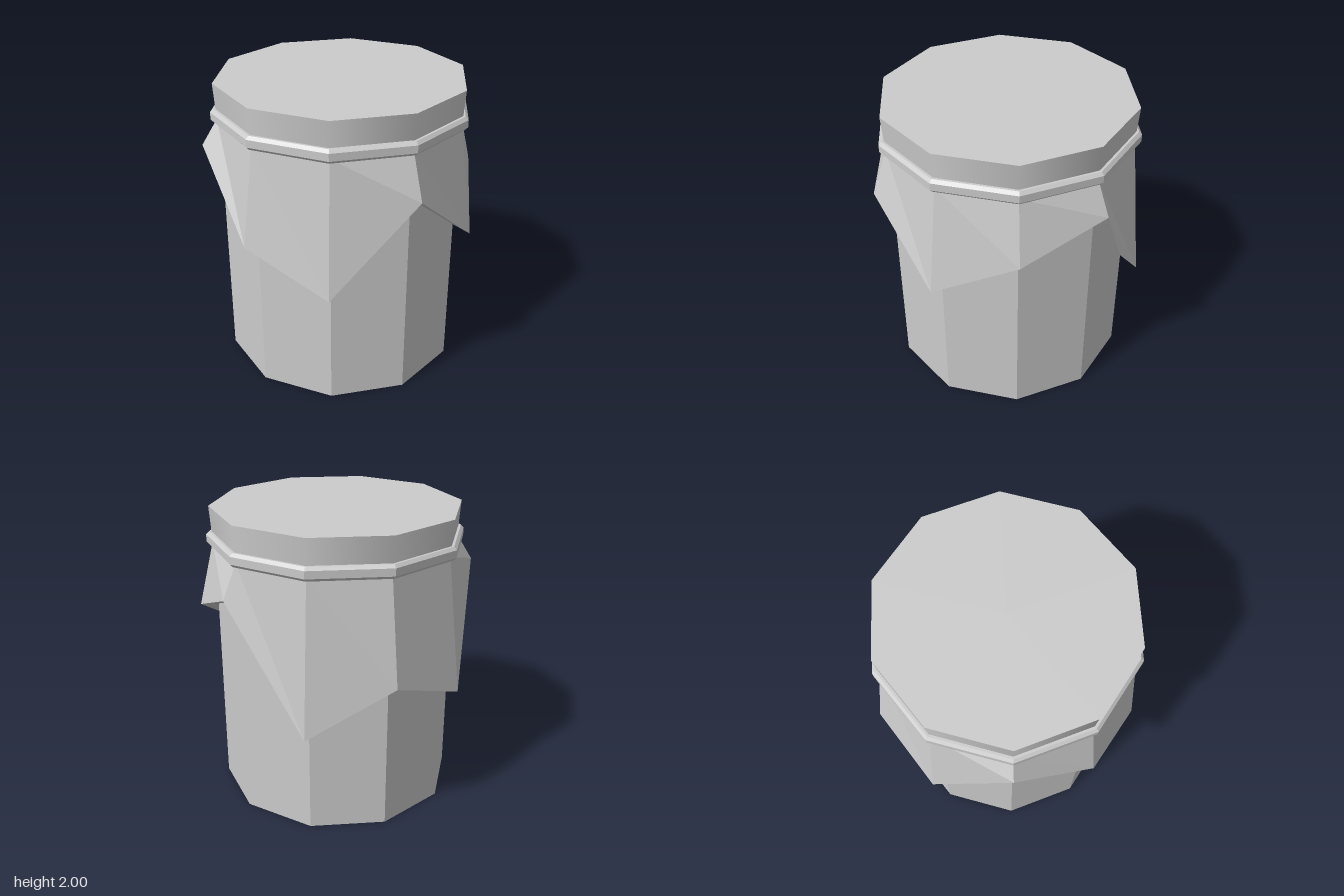
import * as THREE from 'three';

const SIDES = 10;
const flat = new THREE.MeshStandardMaterial({ color: 0xcccccc, flatShading: true });
const smooth = new THREE.MeshStandardMaterial({ color: 0xcccccc });
const cloth = new THREE.MeshStandardMaterial({ color: 0xcccccc, flatShading: true, side: THREE.DoubleSide });

// Ten-sided drum between two heights, with a corner on the +x axis
function drum(name, rTop, rBottom, y0, y1, material) {
  const geo = new THREE.CylinderGeometry(rTop, rBottom, y1 - y0, SIDES, 1, false, Math.PI / 2);
  geo.translate(0, (y0 + y1) / 2, 0);
  const mesh = new THREE.Mesh(geo, material);
  mesh.name = name;
  return mesh;
}

// Cloth skirt: flares from the neck to a ragged rim, then folds in to the jar wall
function clothSkirt() {
  const rim = [1.54, 1.32, 1.01, 1.46, 0.84, 1.1, 1.59, 0.845, 1.05, 0.72];
  const rings = [
    { r: 0.825, y: () => 1.76 },
    { r: 0.93, y: (h) => h },
    { r: 0.808, y: (h) => h + (1.32 - h) * 0.15 },
  ];
  const positions = [];
  const index = [];
  rings.forEach(({ r, y }, j) => {
    for (let k = 0; k < SIDES; k++) {
      const a = (k / SIDES) * Math.PI * 2;
      positions.push(r * Math.cos(a), y(rim[k]), r * Math.sin(a));
      if (j === rings.length - 1) continue;
      const n = (k + 1) % SIDES;
      const top = j * SIDES, low = top + SIDES;
      index.push(top + n, low + n, low + k, top + n, low + k, top + k);
    }
  });
  let geo = new THREE.BufferGeometry();
  geo.setAttribute('position', new THREE.Float32BufferAttribute(positions, 3));
  geo.setIndex(index);
  geo = geo.toNonIndexed();
  geo.computeVertexNormals();
  const mesh = new THREE.Mesh(geo, cloth);
  mesh.name = 'clothSkirt';
  return mesh;
}

// Cord tied around the neck, with bevelled edges
function cord() {
  const profile = [[0.81, 1.74], [0.845, 1.74], [0.865, 1.76], [0.865, 1.81], [0.845, 1.83], [0.81, 1.83]]
    .map(([r, y]) => new THREE.Vector2(r, y));
  const mesh = new THREE.Mesh(new THREE.LatheGeometry(profile, SIDES, Math.PI / 2), flat);
  mesh.name = 'cord';
  return mesh;
}

export function createModel() {
  const group = new THREE.Group();
  group.name = 'coveredJar';
  group.add(
    drum('jarBody', 0.81, 0.81, 0, 1.76, flat),
    drum('lid', 0.84, 0.823, 1.75, 2, smooth),
    cord(),
    clothSkirt(),
  );
  return group;
}
